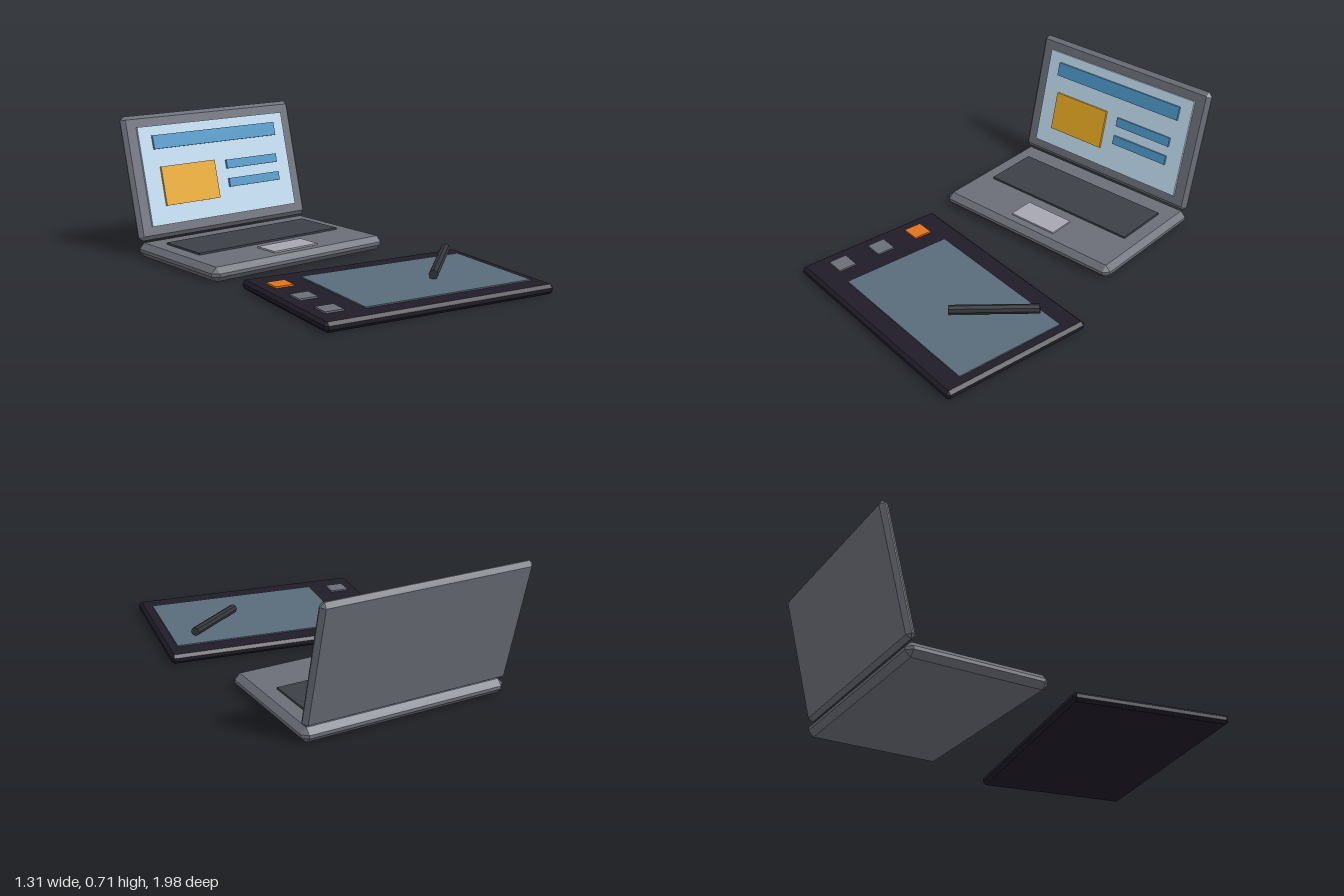
import * as THREE from 'three';
import { ConvexGeometry } from 'three/addons/geometries/ConvexGeometry.js';

const mat = (color) => new THREE.MeshStandardMaterial({ color, flatShading: true });
const casing = mat(0x6b6e78);
const keys = mat(0x3d3f47);
const pad = mat(0xa5a6b0);
const glass = mat(0xc0daee);
const blue = mat(0x4b97c7);
const yellow = mat(0xe8a922);
const dark = mat(0x1f1b28);
const slate = mat(0x596b7b);
const orange = mat(0xe0731a);
const black = mat(0x35363b);

function add(parent, name, geometry, material, x, y, z) {
  const mesh = new THREE.Mesh(geometry, material);
  mesh.name = name;
  mesh.position.set(x, y, z);
  parent.add(mesh);
  return mesh;
}

// Box with every edge cut by a single chamfer c
function chamferBox(w, h, d, c) {
  const points = [];
  for (const sx of [-1, 1]) for (const sy of [-1, 1]) for (const sz of [-1, 1]) {
    for (let axis = 0; axis < 3; axis++) {
      const cut = [c, c, c];
      cut[axis] = 0;
      points.push(new THREE.Vector3(
        sx * (w / 2 - cut[0]), sy * (h / 2 - cut[1]), sz * (d / 2 - cut[2])));
    }
  }
  return new ConvexGeometry(points);
}

const box = (w, h, d) => new THREE.BoxGeometry(w, h, d);

function createLaptop() {
  const laptop = new THREE.Group();
  laptop.name = 'laptop';

  // Base with keyboard and trackpad
  add(laptop, 'laptopBase', chamferBox(1.08, 0.072, 0.7, 0.028), casing, 0, 0.036, 0);
  add(laptop, 'keyboard', box(0.885, 0.02, 0.295), keys, 0, 0.072, -0.07);
  add(laptop, 'trackpad', box(0.275, 0.016, 0.14), pad, 0.005, 0.072, 0.21);

  // Lid leaning back, with the display and its raised blocks
  const lid = new THREE.Group();
  lid.name = 'lid';
  lid.position.set(0, 0.393, -0.405);
  lid.rotation.x = -0.25;
  laptop.add(lid);
  add(lid, 'lidShell', chamferBox(1.08, 0.645, 0.046, 0.02), casing, 0, 0, 0);
  add(lid, 'display', box(0.93, 0.517, 0.022), glass, 0, 0, 0.023);
  add(lid, 'titleBar', box(0.785, 0.072, 0.02), blue, 0.003, 0.172, 0.036);
  add(lid, 'pictureBlock', box(0.335, 0.205, 0.02), yellow, -0.2, -0.06, 0.036);
  for (const y of [0.01, -0.09]) {
    add(lid, 'textBar', box(0.335, 0.047, 0.02), blue, 0.21, y, 0.036);
  }

  laptop.position.set(-0.087, 0, -0.452);
  laptop.rotation.y = 0.07;
  return laptop;
}

function createTablet() {
  const tablet = new THREE.Group();
  tablet.name = 'drawingTablet';
  add(tablet, 'tabletBody', chamferBox(1.207, 0.047, 0.79, 0.015), dark, 0, 0.0235, 0);
  add(tablet, 'drawingArea', box(0.895, 0.012, 0.577), slate, 0.1, 0.047, 0.002);

  // Column of shortcut buttons
  [orange, casing, casing].forEach((material, i) => {
    add(tablet, 'button', box(0.093, 0.016, 0.093), material, -0.491, 0.047, -0.222 + i * 0.225);
  });

  tablet.position.set(0.012, 0, 0.537);
  tablet.rotation.y = -0.105;
  return tablet;
}

// Pen resting at a slight slope between two end points
function createPen() {
  const start = new THREE.Vector3(0.165, 0.073, 0.615);
  const end = new THREE.Vector3(0.483, 0.1, 0.335);
  const axis = end.clone().sub(start);
  const pen = new THREE.Mesh(new THREE.CylinderGeometry(0.023, 0.023, axis.length(), 8), black);
  pen.name = 'pen';
  pen.position.copy(start).add(end).multiplyScalar(0.5);
  pen.quaternion.setFromUnitVectors(new THREE.Vector3(0, 1, 0), axis.normalize());
  return pen;
}

export function createModel() {
  const model = new THREE.Group();
  model.name = 'laptopAndTablet';
  model.add(createLaptop(), createTablet(), createPen());
  return model;
}
